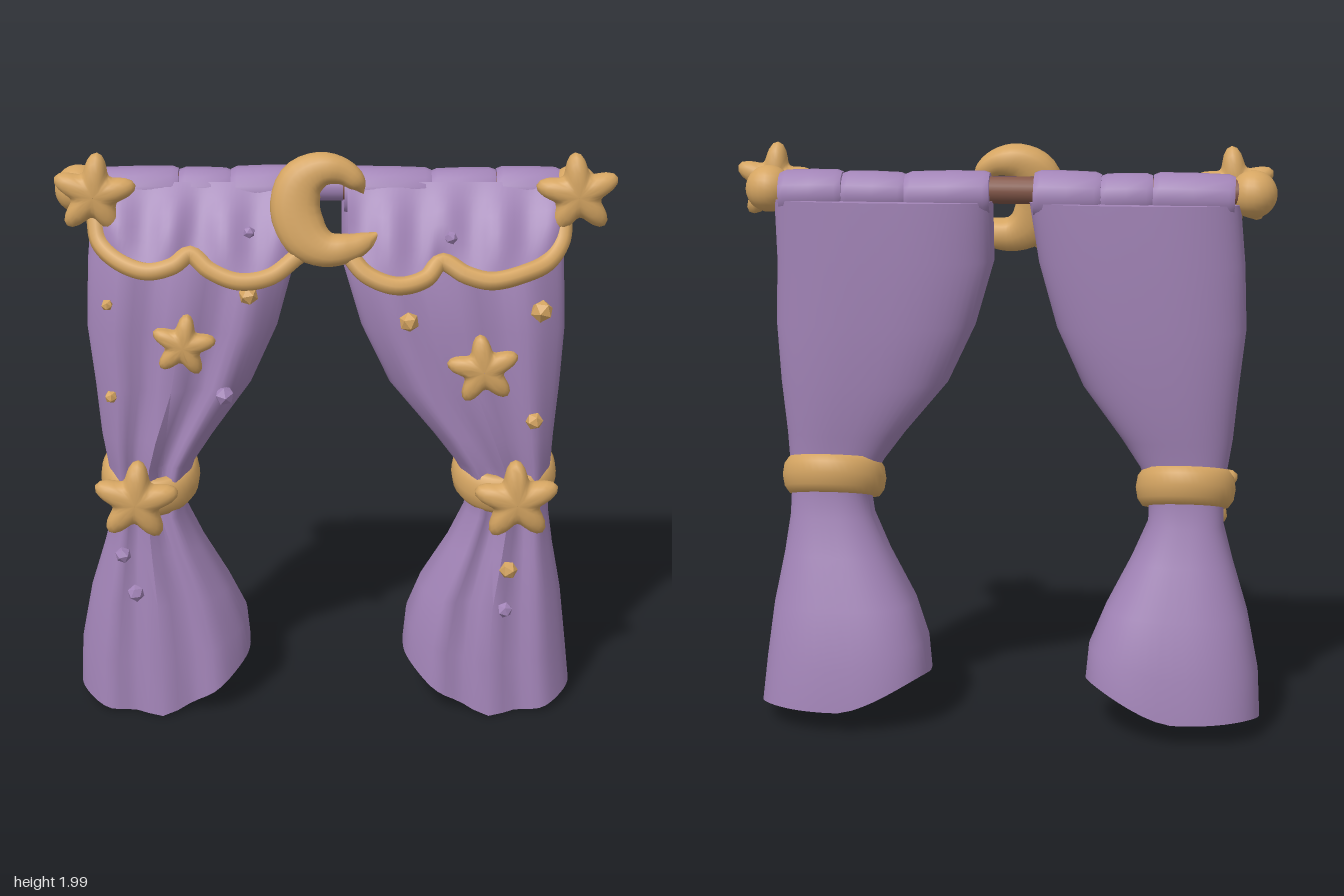
import * as THREE from 'three';
import { toCreasedNormals } from 'three/addons/utils/BufferGeometryUtils.js';

const V = (x, y, z) => new THREE.Vector3(x, y, z);
const signPow = (v, e) => Math.sign(v) * Math.abs(v) ** e;

export function createModel() {
  const model = new THREE.Group();
  const cloth = new THREE.MeshStandardMaterial({ color: 0xa284b7, side: THREE.DoubleSide });
  cloth.name = 'purple cloth';
  const gold = new THREE.MeshStandardMaterial({ color: 0xd5a562 });
  gold.name = 'gold';
  const wood = new THREE.MeshStandardMaterial({ color: 0x84584a });
  wood.name = 'brown wood';

  const add = (name, geometry, material, x = 0, y = 0, z = 0) => {
    const mesh = new THREE.Mesh(geometry, material);
    mesh.name = name;
    mesh.position.set(x, y, z);
    model.add(mesh);
    return mesh;
  };

  // Surface from rows of points, optionally closed around
  const loft = (rows, closed, crease) => {
    const n = rows[0].length, index = [];
    for (let i = 0; i < rows.length - 1; i++) {
      for (let j = 0; j < (closed ? n : n - 1); j++) {
        const k = (j + 1) % n, a = i * n + j, b = i * n + k;
        index.push(a, b, a + n, b, b + n, a + n);
      }
    }
    const g = new THREE.BufferGeometry().setFromPoints(rows.flat());
    g.setIndex(index);
    return toCreasedNormals(g, crease);
  };

  // Gathered curtain: rows of y, outer x, inner x, front z, back z
  const curtain = (name, side, table) => {
    const ring = ([y, outer, inner, front, back], shrink = 1) => {
      const cx = side * (outer + inner) / 2, hw = (outer - inner) / 2 * shrink;
      const cz = (front + back) / 2, hz = (front - back) / 2 * shrink;
      const low = THREE.MathUtils.clamp((0.45 - y) / 0.44, 0, 1);
      const pts = [];
      for (let j = 0; j < 56; j++) {
        const t = j / 56 * Math.PI * 2, c = Math.cos(t), s = Math.sin(t);
        const u = signPow(c, 0.8), inward = -side * c;
        const fold = Math.max(0, s) * 0.018 * (Math.cos(u * Math.PI * 3) - 1) * shrink;
        const lift = low * (inward > 0 ? 0.17 * inward ** 1.2 : 0.05 * c * c) + low * 0.08 * Math.max(0, -s);
        pts.push(V(cx + hw * u, y + lift * shrink, cz + hz * signPow(s, 0.75) + fold));
      }
      return pts;
    };
    const last = table[table.length - 1];
    const hollow = [0.07, ...last.slice(1)];
    const rows = [ring(table[0], 0.01), ...table.map(r => ring(r)), ring(hollow, 0.7), ring(hollow, 0.01)];
    add(name, loft(rows, true, 0.9), cloth);
  };
  curtain('rightCurtain', -1, [
    [1.82, 0.79, 0.10, 0.08, -0.13], [1.62, 0.81, 0.13, 0.14, -0.13], [1.4, 0.82, 0.19, 0.16, -0.12],
    [1.2, 0.80, 0.28, 0.16, -0.11], [1.02, 0.785, 0.41, 0.16, -0.085], [0.92, 0.77, 0.475, 0.15, -0.07],
    [0.83, 0.76, 0.505, 0.14, -0.065], [0.73, 0.76, 0.505, 0.14, -0.08], [0.6, 0.795, 0.45, 0.16, -0.12],
    [0.42, 0.85, 0.365, 0.18, -0.18], [0.2, 0.89, 0.31, 0.2, -0.225], [0.01, 0.9, 0.30, 0.21, -0.24]]);
  curtain('leftCurtain', 1, [
    [1.82, 0.75, 0.02, 0.08, -0.13], [1.62, 0.75, 0.02, 0.14, -0.13], [1.4, 0.76, 0.085, 0.16, -0.12],
    [1.2, 0.75, 0.18, 0.16, -0.11], [1.02, 0.735, 0.33, 0.16, -0.085], [0.92, 0.73, 0.405, 0.15, -0.07],
    [0.83, 0.725, 0.455, 0.14, -0.065], [0.73, 0.73, 0.44, 0.14, -0.08], [0.6, 0.75, 0.385, 0.16, -0.12],
    [0.42, 0.785, 0.295, 0.18, -0.18], [0.2, 0.81, 0.25, 0.2, -0.225], [0.01, 0.83, 0.24, 0.21, -0.24]]);

  // Rod, a strip of cloth over its front, round ends and the cloth rolled over it
  add('rod', new THREE.CylinderGeometry(0.045, 0.045, 1.56, 16).rotateZ(Math.PI / 2), wood, -0.03, 1.855, -0.015);
  const strip = new THREE.CylinderGeometry(0.049, 0.049, 0.14, 12, 1, true, -1.1, 2.2);
  add('rodFrontCloth', strip.rotateZ(Math.PI / 2), cloth, -0.045, 1.855, -0.015);
  for (const x of [-0.83, 0.775]) add('rodEnd', new THREE.SphereGeometry(0.078, 20, 14), gold, x, 1.85, 0);
  const rolls = [[-0.77, -0.505, 0.08], [-0.505, -0.335, 0.077], [-0.335, -0.115, 0.083],
    [0.03, 0.31, 0.079], [0.31, 0.52, 0.075], [0.52, 0.73, 0.079]];
  rolls.forEach(([x0, x1, r], i) => {
    const h = (x1 - x0) / 2;
    const profile = [[0, -h], [r * 0.9, -h], [r, -h + 0.02], [r * 1.02, 0], [r, h - 0.02], [r * 0.9, h], [0, h]];
    const g = new THREE.LatheGeometry(profile.map(p => new THREE.Vector2(...p)), 14);
    const roll = add('rolledCloth', toCreasedNormals(g.rotateZ(Math.PI / 2), 0.7), cloth, (x0 + x1) / 2, 1.838, -0.015);
    roll.rotation.z = (i % 2 ? -1 : 1) * 0.02;
  });

  // Scalloped valance hanging in front, edged with a gold trim
  const valance = (name, x0, x1, pts) => {
    const curve = new THREE.CatmullRomCurve3(pts.map(p => V(...p)));
    const rows = [];
    for (let i = 0; i <= 6; i++) {
      const t = i / 6, row = [];
      for (let j = 0; j <= 48; j++) {
        const p = curve.getPointAt(j / 48);
        const top = V(THREE.MathUtils.clamp(p.x, x0, x1), 1.885, 0.045);
        row.push(top.lerp(p, t).add(V(0, 0, Math.sin(t * Math.PI) * (0.018 + 0.012 * Math.cos(p.x * 36)))));
      }
      rows.push(row);
    }
    add(name, loft(rows, false, 1), cloth);
    add(name + 'Trim', new THREE.TubeGeometry(curve, 60, 0.03, 8), gold);
    for (const p of [pts[0], pts[pts.length - 1]]) add(name + 'TrimEnd', new THREE.SphereGeometry(0.03, 8, 6), gold, ...p);
  };
  valance('rightValance', -0.76, -0.13, [
    [-0.77, 1.78, 0.09], [-0.755, 1.71, 0.13], [-0.69, 1.66, 0.18], [-0.6, 1.635, 0.205], [-0.52, 1.65, 0.195],
    [-0.465, 1.68, 0.165], [-0.4, 1.635, 0.195], [-0.31, 1.605, 0.215], [-0.21, 1.615, 0.2], [-0.12, 1.67, 0.15]]);
  valance('leftValance', 0.04, 0.72, [
    [0.04, 1.68, 0.15], [0.1, 1.62, 0.19], [0.2, 1.59, 0.215], [0.29, 1.61, 0.2], [0.34, 1.655, 0.165],
    [0.42, 1.62, 0.195], [0.5, 1.605, 0.21], [0.6, 1.625, 0.2], [0.68, 1.655, 0.17], [0.725, 1.71, 0.13], [0.735, 1.78, 0.09]]);

  // Crescent at the middle of the rod: midline x, y and half width
  const midline = new THREE.CatmullRomCurve3([
    [0.125, 0.05, 0.001], [0.105, 0.085, 0.03], [0.06, 0.12, 0.042], [-0.01, 0.128, 0.056], [-0.075, 0.085, 0.074],
    [-0.093, 0, 0.08], [-0.06, -0.085, 0.077], [0.005, -0.127, 0.058], [0.08, -0.122, 0.046],
    [0.135, -0.1, 0.03], [0.18, -0.07, 0.001]].map(p => V(...p)));
  const crescentRows = [];
  for (let i = 0; i <= 40; i++) {
    const p = midline.getPoint(i / 40), t = midline.getTangent(i / 40);
    const len = Math.hypot(t.x, t.y), w = Math.max(p.z, 0.001), depth = Math.min(0.06, w * 1.2), row = [];
    for (let j = 0; j < 16; j++) {
      const a = j / 16 * Math.PI * 2, c = w * signPow(Math.cos(a), 0.8);
      row.push(V(p.x - t.y / len * c, p.y + t.x / len * c, depth * signPow(Math.sin(a), 0.8)));
    }
    crescentRows.push(row);
  }
  add('crescent', loft(crescentRows, true, 1), gold, -0.035, 1.815, 0.12).rotation.x = -0.2;

  // Puffy five-pointed stars, domed front and back
  const star = (name, x, y, z, r, turn, thick) => {
    const ring = (scale, side) => {
      const pts = [];
      for (let j = 0; j < 50; j++) {
        const a = j / 50 * Math.PI * 2;
        const d = r * scale * (0.56 + 0.44 * ((1 + Math.cos(5 * a)) / 2) ** 1.15);
        pts.push(V(-Math.sin(a + turn) * d, Math.cos(a + turn) * d, side * thick / 2 * Math.sqrt(1 - scale ** 3)));
      }
      return pts;
    };
    const scales = [0.01, 0.35, 0.6, 0.8, 0.92, 0.98];
    const rows = [...scales.map(s => ring(s, -1)), ring(1, 0), ...scales.map(s => ring(s, 1)).reverse()];
    add(name, loft(rows, true, 1), gold, x, y, z);
  };
  star('rightEndStar', -0.77, 1.86, 0.1, 0.137, -0.1, 0.1);
  star('leftEndStar', 0.775, 1.86, 0.1, 0.137, 0.1, 0.1);
  star('rightTieStar', -0.67, 0.81, 0.155, 0.147, -0.08, 0.1);
  star('leftTieStar', 0.61, 0.81, 0.155, 0.147, 0.05, 0.1);
  star('rightCurtainStar', -0.495, 1.37, 0.165, 0.108, -0.15, 0.075);
  star('leftCurtainStar', 0.485, 1.285, 0.165, 0.122, 0.12, 0.075);

  // Tie bands around the gathered waists, higher at the back
  for (const [name, x, rx, y] of [['rightTieBand', -0.63, 0.135, 0.85], ['leftTieBand', 0.575, 0.145, 0.86]]) {
    const loop = [];
    for (let i = 0; i < 20; i++) {
      const a = i / 20 * Math.PI * 2;
      loop.push(V(Math.cos(a) * rx, -Math.sin(a) * 0.02, Math.sin(a) * 0.115));
    }
    const g = new THREE.TubeGeometry(new THREE.CatmullRomCurve3(loop, true), 40, 0.034, 10, true);
    add(name, g.scale(1, 2, 1), gold, x, y, 0.015);
  }

  // Small faceted studs scattered on the cloth
  const studs = [
    [-0.74, 1.5, 0.14, 0.02, gold], [-0.28, 1.54, 0.16, 0.033, gold], [-0.74, 1.18, 0.14, 0.022, gold],
    [0.24, 1.445, 0.15, 0.034, gold], [0.67, 1.48, 0.145, 0.038, gold], [0.66, 1.095, 0.145, 0.03, gold],
    [0.59, 0.555, 0.165, 0.032, gold], [-0.365, 1.185, 0.14, 0.034, cloth], [-0.275, 1.75, 0.155, 0.02, cloth],
    [0.37, 1.73, 0.15, 0.022, cloth], [-0.72, 0.61, 0.16, 0.028, cloth],
    [-0.68, 0.475, 0.18, 0.03, cloth], [0.58, 0.41, 0.18, 0.028, cloth]];
  studs.forEach(([x, y, z, r, material], i) => {
    add('stud', new THREE.IcosahedronGeometry(r, 0), material, x, y, z).rotation.set(i, i * 0.7, i * 1.3);
  });

  return model;
}
